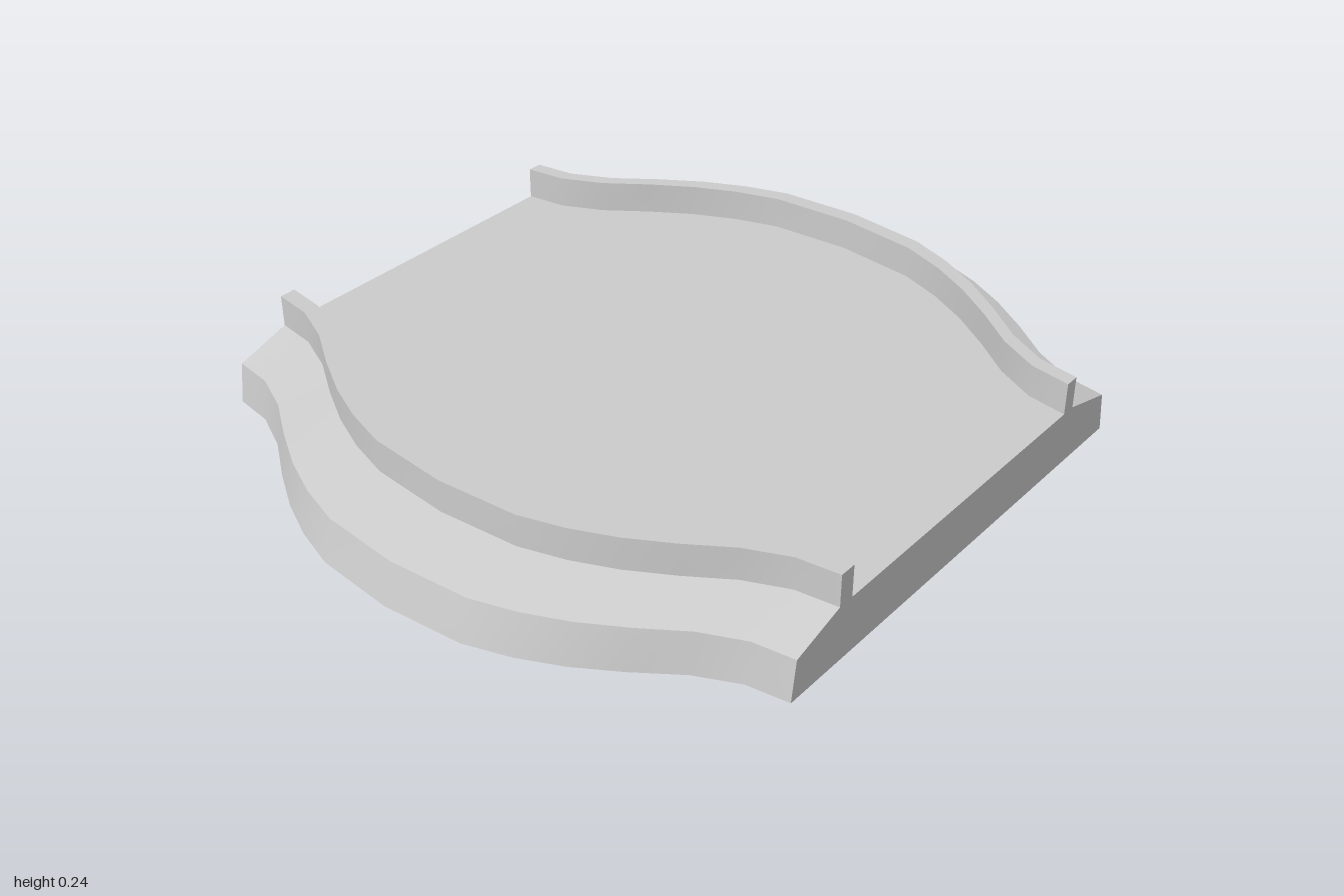
import * as THREE from 'three';

const HALF_WIDTH = 0.89;

// Bulge of the bowed edges: [x, fraction of full bow], mirrored across x = 0
const half = [[0.22, 0.94], [0.34, 0.82], [0.45, 0.66], [0.56, 0.45], [0.67, 0.21], [0.78, 0.05], [HALF_WIDTH, 0]];
const bow = [...half.map(([x, f]) => [-x, f]).reverse(), [0, 1], ...half];

// Cross-section from the front foot over the top to the back foot: [y, z at the ends, z at the centre]
const section = [
  [0, 0.67, 1], [0.11, 0.655, 0.97], [0.155, 0.505, 0.81], [0.243, 0.505, 0.81], [0.243, 0.46, 0.765], [0.155, 0.46, 0.765],
  [0.155, -0.435, -0.77], [0.243, -0.435, -0.77], [0.243, -0.475, -0.815], [0.155, -0.475, -0.815], [0.11, -0.635, -0.973], [0, -0.65, -1],
];
const names = [
  'frontWall', 'frontSlope', 'frontRailOuter', 'frontRailTop', 'frontRailInner', 'floor',
  'backRailInner', 'backRailTop', 'backRailOuter', 'backSlope', 'backWall',
];

// Smooth strip between two neighbouring section points, following the bow along x
function strip(a, b) {
  const position = [], index = [];
  bow.forEach(([x, f], i) => {
    for (const [y, end, centre] of [a, b]) position.push(x, y, end + (centre - end) * f);
    if (i === 0) return;
    const p = 2 * (i - 1);
    index.push(p, p + 2, p + 3, p, p + 3, p + 1);
  });
  const geometry = new THREE.BufferGeometry();
  geometry.setAttribute('position', new THREE.Float32BufferAttribute(position, 3));
  geometry.setIndex(index);
  geometry.computeVertexNormals();
  return geometry;
}

// Flat end panel filling the cross-section on one side
function endPanel(side) {
  const shape = new THREE.Shape(section.map(([y, z]) => new THREE.Vector2(-side * z, y)));
  return new THREE.ShapeGeometry(shape).rotateY(side * Math.PI / 2).translate(side * HALF_WIDTH, 0, 0);
}

export function createModel() {
  const model = new THREE.Group();
  model.name = 'bowedTray';
  // Thin hollow shell, open underneath
  const material = new THREE.MeshStandardMaterial({ color: 0xcccccc, side: THREE.DoubleSide });
  const add = (name, geometry) => {
    const mesh = new THREE.Mesh(geometry, material);
    mesh.name = name;
    model.add(mesh);
  };

  names.forEach((name, i) => add(name, strip(section[i], section[i + 1])));
  add('leftEnd', endPanel(1));
  add('rightEnd', endPanel(-1));
  return model;
}
